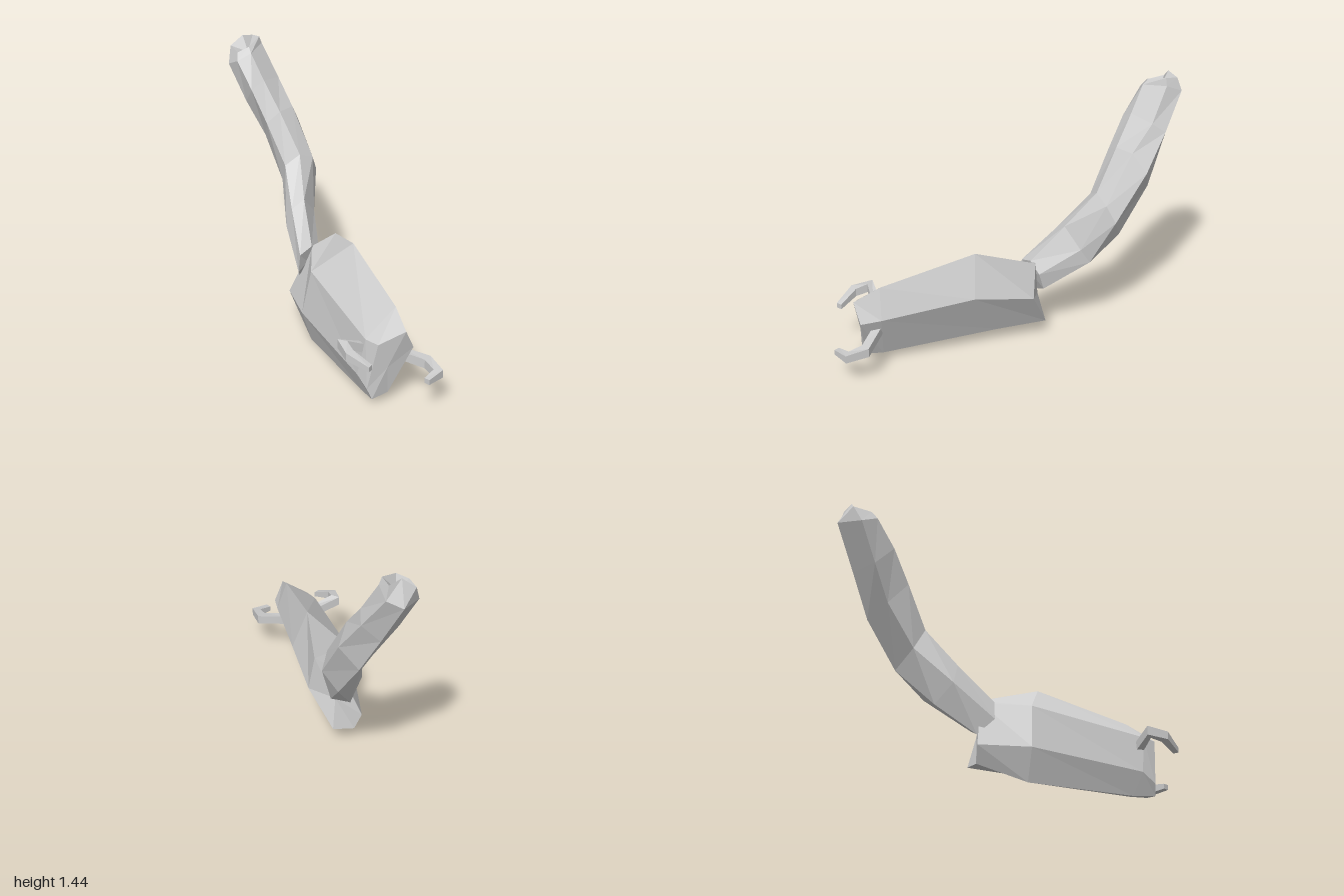
import * as THREE from 'three';

const material = new THREE.MeshStandardMaterial({ color: 0xcccccc, flatShading: true, side: THREE.DoubleSide });

// Skin a list of rings (equal point counts) and close both ends;
// endCentre optionally sinks the last cap into a dish.
function loft(name, rings, endCentre) {
  const n = rings[0].length;
  const pos = [];
  const tri = (...pts) => pts.forEach((p) => pos.push(...p));
  const centre = (ring) => [0, 1, 2].map((k) => ring.reduce((s, p) => s + p[k], 0) / n);
  const first = rings[0], last = rings[rings.length - 1];
  const c0 = centre(first), c1 = endCentre || centre(last);
  for (let j = 0; j < n; j++) {
    const k = (j + 1) % n;
    for (let i = 0; i < rings.length - 1; i++) {
      const a = rings[i], b = rings[i + 1];
      tri(a[j], a[k], b[k]);
      tri(a[j], b[k], b[j]);
    }
    tri(c0, first[k], first[j]);
    tri(c1, last[j], last[k]);
  }
  const geo = new THREE.BufferGeometry();
  geo.setAttribute('position', new THREE.Float32BufferAttribute(pos, 3));
  geo.computeVertexNormals();
  const mesh = new THREE.Mesh(geo, material);
  mesh.name = name;
  return mesh;
}

// Four-sided bent limb following a path, with half width and half height per point
function limb(name, path, sizes) {
  const pts = path.map((p) => new THREE.Vector3(...p));
  const up = new THREE.Vector3(0, 1, 0);
  const side = (a, b) => b.clone().sub(a).cross(up).normalize();
  const rings = pts.map((p, i) => {
    const s0 = side(pts[Math.max(i - 1, 0)], pts[Math.max(i, 1)]);
    const s1 = side(pts[Math.min(i, pts.length - 2)], pts[Math.min(i + 1, pts.length - 1)]);
    const w = s0.add(s1).normalize();
    const [hw, hh] = sizes[i];
    return [[-1, 1], [1, 1], [1, -1], [-1, -1]].map(([u, v]) =>
      p.clone().addScaledVector(w, u * hw).addScaledVector(up, v * hh).toArray());
  });
  return loft(name, rings);
}

export function createModel() {
  const model = new THREE.Group();
  model.name = 'model';

  // Tilted faceted body, front to back: top, right, low right, bottom, low left, upper left
  model.add(loft('body', [
    [[0.06, 0.42, 0.86], [0.115, 0.31, 0.84], [0, 0.05, 0.79], [-0.09, 0.03, 0.79], [-0.115, 0.09, 0.78], [-0.07, 0.35, 0.81]],
    [[0.075, 0.49, 0.72], [0.13, 0.32, 0.73], [0.02, 0.05, 0.7], [-0.085, 0.015, 0.66], [-0.13, 0.14, 0.7], [-0.1, 0.35, 0.73]],
    [[0.1, 0.61, 0.2], [0.18, 0.38, 0.23], [0.06, 0.09, 0.06], [-0.08, 0.005, 0.06], [-0.135, 0.18, 0.06], [-0.09, 0.43, 0.08]],
    [[0.155, 0.52, -0.12], [0.185, 0.32, -0.1], [0.08, 0.1, -0.21], [-0.04, 0.08, -0.21], [-0.08, 0.17, -0.22], [0.03, 0.45, -0.16]],
  ]));

  // Kinked hexagonal tail, base to dished tip: two front edges, right, two back edges, left
  model.add(loft('tail', [
    [[-0.06, 0.43, -0.12], [0.02, 0.46, -0.14], [0.08, 0.4, -0.17], [0.07, 0.3, -0.2], [-0.02, 0.25, -0.2], [-0.07, 0.33, -0.12]],
    [[-0.02, 0.62, -0.31], [0.06, 0.66, -0.32], [0.15, 0.55, -0.38], [0.16, 0.47, -0.43], [0.05, 0.41, -0.41], [-0.04, 0.51, -0.34]],
    [[0.02, 0.81, -0.48], [0.11, 0.86, -0.48], [0.2, 0.82, -0.5], [0.24, 0.73, -0.54], [0.17, 0.62, -0.59], [0.03, 0.7, -0.54]],
    [[-0.035, 1.03, -0.6], [0.05, 1.08, -0.61], [0.15, 1.08, -0.66], [0.21, 0.98, -0.72], [0.12, 0.86, -0.77], [0, 0.92, -0.7]],
    [[-0.08, 1.2, -0.7], [0, 1.24, -0.71], [0.12, 1.22, -0.78], [0.14, 1.17, -0.85], [0.05, 1.08, -0.88], [-0.07, 1.1, -0.8]],
    [[-0.115, 1.34, -0.81], [-0.04, 1.38, -0.79], [0.065, 1.4, -0.88], [0.06, 1.36, -0.97], [-0.02, 1.32, -1], [-0.13, 1.3, -0.9]],
    [[-0.1, 1.38, -0.84], [-0.04, 1.41, -0.82], [0.05, 1.44, -0.88], [0.04, 1.43, -0.95], [-0.03, 1.445, -0.93], [-0.1, 1.39, -0.94]],
  ], [-0.02, 1.36, -0.88]));

  // Small hooked arms
  const sizes = [[0.022, 0.025], [0.026, 0.025], [0.024, 0.022], [0.016, 0.014]];
  model.add(limb('leftArm', [[0.07, 0.24, 0.73], [0.2, 0.2, 0.84], [0.205, 0.185, 0.94], [0.12, 0.18, 0.975]], sizes));
  model.add(limb('rightArm', [[-0.07, 0.28, 0.7], [-0.215, 0.335, 0.7], [-0.22, 0.32, 0.79], [-0.155, 0.28, 0.89]], sizes));
  return model;
}
